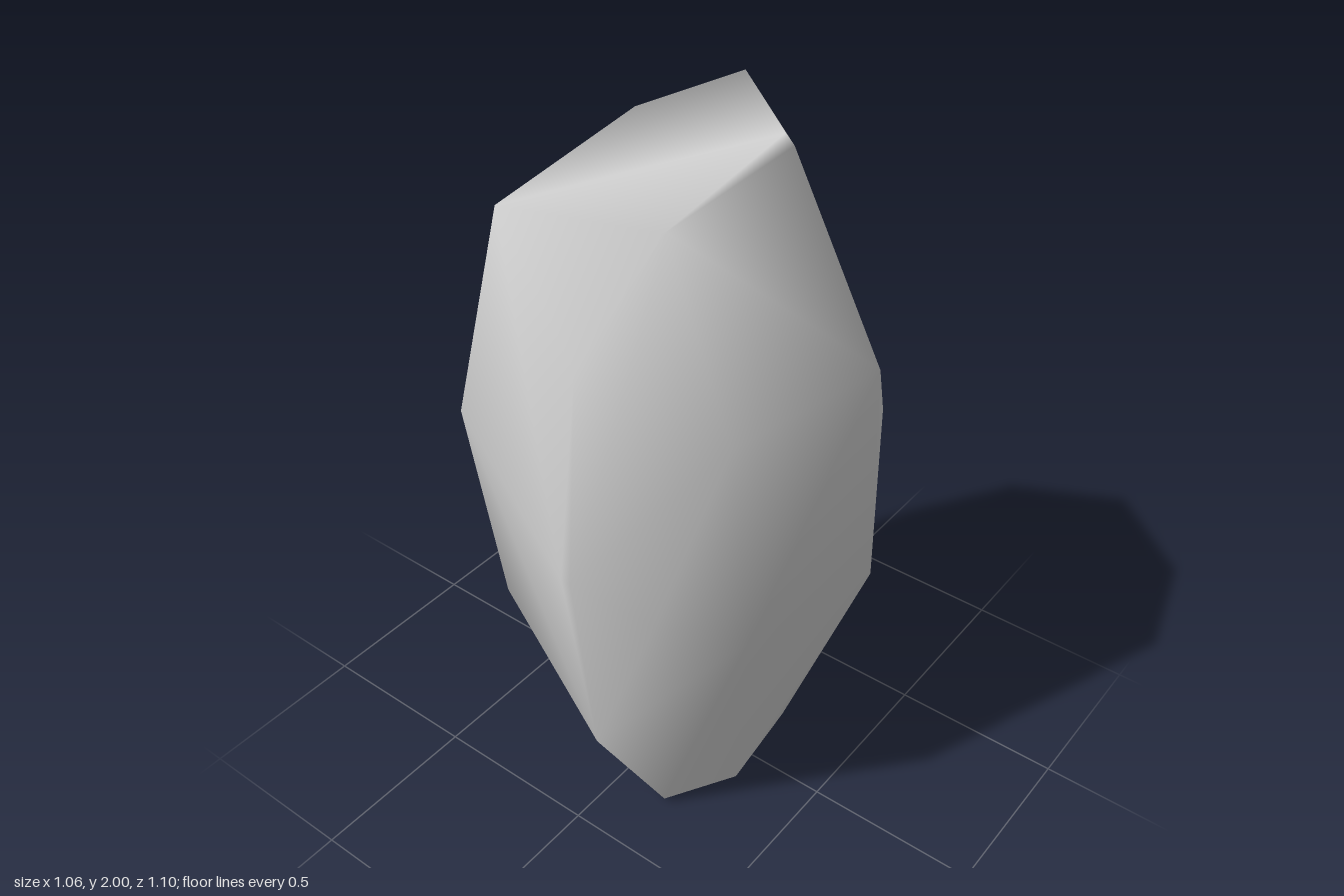
import * as THREE from 'three';
import { ConvexGeometry } from 'three/addons/geometries/ConvexGeometry.js';
import { mergeVertices } from 'three/addons/utils/BufferGeometryUtils.js';

// corners of the boulder, listed by level from the foot to the crown
const foot = [
  [-0.22, 0.02, 0.16], [0.17, 0.02, 0.31], [0.29, 0.03, 0.12],
  [0.25, 0.02, -0.18], [0.05, 0.02, -0.27], [-0.17, 0.02, -0.18],
];
const levels = {
  foot,
  // slightly smaller ring on the ground rounds the lower rim
  sole: foot.map(([x, , z]) => [x * 0.92, 0, z * 0.92]),
  lowerBelly: [
    [-0.49, 0.42, 0.23], [0.08, 0.36, 0.49], [0.4, 0.54, -0.38],
    [-0.06, 0.68, -0.55], [-0.02, 0.7, -0.55], [-0.35, 0.65, -0.38],
  ],
  upperBelly: [
    [0.04, 0.97, 0.55], [0.07, 0.97, 0.55], [0.25, 0.85, 0.44], [0.43, 0.78, 0.28],
    [-0.47, 1.16, 0.36], [-0.53, 1.18, 0.04], [-0.42, 1.15, -0.32],
  ],
  shoulder: [
    [0.36, 1.36, 0.28], [0.53, 1.46, -0.09], [0.4, 1.14, -0.36],
    [-0.02, 1.33, -0.5], [-0.42, 1.34, -0.3], [0.0, 1.5, 0.42],
  ],
  crown: [
    [-0.36, 1.77, 0.28], [0.19, 1.89, 0.31], [0.24, 2, -0.07],
    [0.26, 1.97, -0.08], [-0.06, 1.99, -0.33], [-0.37, 1.83, -0.27],
  ],
};

export function createModel() {
  const group = new THREE.Group();
  group.name = 'boulder';

  // one solid stone stretched over the corners, shared corners shade smoothly
  const points = Object.values(levels).flat().map((p) => new THREE.Vector3(...p));
  const hull = new ConvexGeometry(points);
  hull.deleteAttribute('normal');
  const geometry = mergeVertices(hull);
  geometry.computeVertexNormals();

  const stone = new THREE.Mesh(geometry, new THREE.MeshStandardMaterial({ color: 0xcccccc }));
  stone.name = 'stone';
  group.add(stone);
  return group;
}
